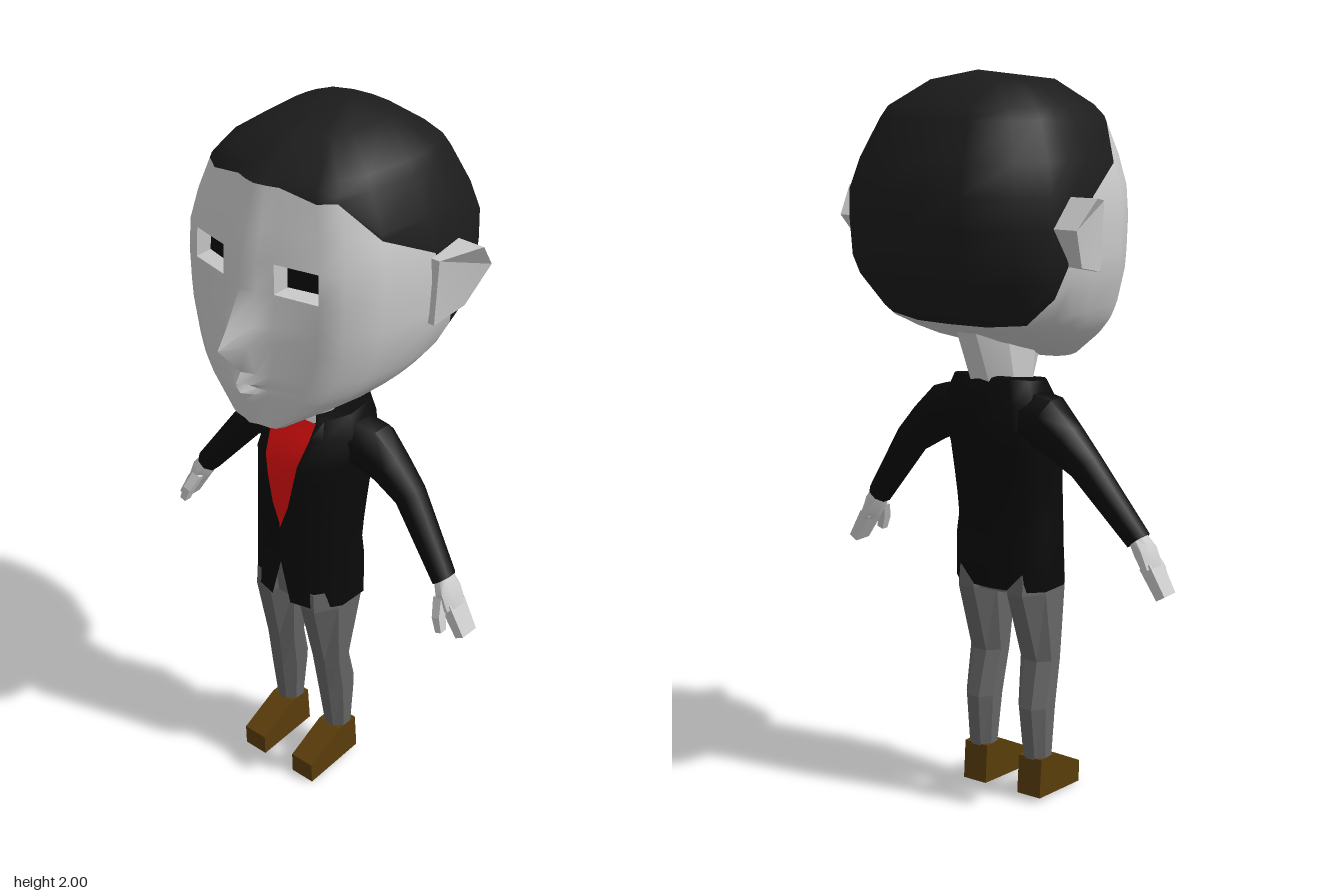
import * as THREE from 'three';
import { toCreasedNormals } from 'three/addons/utils/BufferGeometryUtils.js';

const mat = (color, side = THREE.FrontSide) => new THREE.MeshStandardMaterial({ color, side });
const SKIN = mat(0xcccccc), SOCKET = mat(0xcccccc, THREE.DoubleSide);
const HAIR = mat(0x1c1c1c), JACKET = mat(0x0a0a0a, THREE.DoubleSide), SLEEVE = mat(0x0a0a0a);
const SHIRT = mat(0xe01010, THREE.DoubleSide), TROUSERS = mat(0x666666), SHOE = mat(0x5a3d0a);
const PUPIL = mat(0x0a0a0a, THREE.DoubleSide);

// Skin a list of rings of [x, y, z]; faces are turned to point outward
function loft(rings, { closed = true, caps = false, crease = 0.8, skip = () => false } = {}) {
  const n = rings[0].length, pts = rings.flat().map(p => new THREE.Vector3(...p));
  const mid = pts.reduce((a, p) => a.add(p), new THREE.Vector3()).divideScalar(pts.length);
  const tris = [];
  let volume = 0;
  const tri = (a, b, c) => {
    const [p, q, r] = [a, b, c].map(i => pts[i].clone().sub(mid));
    const area = q.clone().sub(p).cross(r.clone().sub(p)).length();
    if (area < 1e-7) return;
    volume += p.dot(q.cross(r));
    tris.push([a, b, c]);
  };
  for (let j = 0; j < rings.length - 1; j++)
    for (let i = 0; i < (closed ? n : n - 1); i++) {
      if (skip(j, i)) continue;
      const k = (i + 1) % n, a = j * n + i, b = j * n + k, c = a + n, d = b + n;
      tri(a, b, d);
      tri(a, d, c);
    }
  if (caps) {
    const e = (rings.length - 1) * n;
    for (let i = 1; i < n - 1; i++) {
      tri(0, i + 1, i);
      tri(e, e + i, e + i + 1);
    }
  }
  const geo = new THREE.BufferGeometry().setFromPoints(pts);
  geo.setIndex(tris.flatMap(t => (volume < 0 ? [t[0], t[2], t[1]] : t)));
  return toCreasedNormals(geo, crease);
}

// Tube along points [x, y, z, radius, depthRadius] lying mostly in the xy plane
function limb(path, s, sides = 8, crease = 0.9) {
  return loft(path.map(([x, y, z, r, rz], i) => {
    const a = path[Math.max(i - 1, 0)], b = path[Math.min(i + 1, path.length - 1)];
    const dx = b[0] - a[0], dy = b[1] - a[1], l = Math.hypot(dx, dy);
    return Array.from({ length: sides }, (_, k) => {
      const t = ((k + 0.5) / sides) * Math.PI * 2, u = Math.cos(t) * r;
      return [s * (x - (dy / l) * u), y + (dx / l) * u, z + Math.sin(t) * rz];
    });
  }), { caps: true, crease });
}

// Flattened polygon ring, level in y
const level = (cx, y, hw, zf, zb, sides = 8) => Array.from({ length: sides }, (_, k) => {
  const t = ((k + 0.5) / sides) * Math.PI * 2, f = 1.08;
  return [cx + Math.cos(t) * hw * f, y, (zf + zb) / 2 + Math.sin(t) * (zf - zb) / 2 * f];
});

// Head levels: y, half width, front z, back z, widest z, centre-line bump
const HEAD = [
  [1.229, 0, 0.2, 0.2, 0.2, 0], [1.23, 0.09, 0.27, 0.14, 0.2, 0.005], [1.3, 0.205, 0.28, -0.1, 0.08, 0.016],
  [1.33, 0.24, 0.285, -0.17, 0.03, 0.02], [1.345, 0.253, 0.285, -0.2, 0.02, -0.005],
  [1.362, 0.265, 0.287, -0.24, 0, 0.033], [1.39, 0.282, 0.287, -0.27, -0.02, 0.015],
  [1.48, 0.314, 0.288, -0.35, -0.05, 0.092], [1.53, 0.32, 0.287, -0.378, -0.05, 0.06],
  [1.62, 0.325, 0.286, -0.384, -0.05, 0.014], [1.7, 0.32, 0.284, -0.386, -0.06, 0.012],
  [1.78, 0.3, 0.264, -0.355, -0.06, 0.006], [1.88, 0.255, 0.24, -0.307, -0.05, 0.002],
  [1.91, 0.235, 0.205, -0.29, -0.05, 0], [1.975, 0.135, 0.125, -0.195, -0.06, 0], [2, 0, -0.11, -0.11, -0.11, 0],
];
// Head columns from face to nape: x fraction, z fraction, hairline height, share of bump
const HALF = [
  [0, 1, 1.88, 1], [0.13, 0.98, 1.88, 0.4], [0.26, 0.94, 1.88, 0], [0.63, 0.86, 1.86, 0], [0.8, 0.77, 1.865, 0],
  [0.93, 0.48, 1.765, 0], [1, 0, 1.69, 0], [0.99, -0.28, 1.55, 0], [0.95, -0.5, 1.44, 0],
  [0.8, -0.8, 1.37, 0], [0.42, -0.96, 1.36, 0], [0, -1, 1.36, 0],
];
const COLS = [...HALF, ...HALF.slice(1, -1).reverse().map(([x, ...r]) => [-x, ...r])];

function headPoint([fx, fz, , share], y) {
  let j = 0;
  while (j < HEAD.length - 2 && y > HEAD[j + 1][0]) j++;
  const a = HEAD[j], b = HEAD[j + 1], t = (y - a[0]) / (b[0] - a[0]);
  const [, w, zf, zb, zc, bump] = a.map((v, i) => v + (b[i] - v) * t);
  return [fx * w, y, zc + fz * (fz > 0 ? zf - zc : zc - zb) + share * bump];
}

// Torso levels: y, half width, front z, back z, half opening at the front, rise towards the back
const TORSO = [
  [0.61, 0.15, 0.165, -0.065, 0.033, 0], [0.735, 0.148, 0.165, -0.068, 0, 0], [0.79, 0.144, 0.165, -0.062, 0, 0],
  [0.85, 0.142, 0.165, -0.072, 0, 0], [0.92, 0.141, 0.165, -0.086, 0.027, 0], [1, 0.141, 0.163, -0.102, 0.045, 0],
  [1.06, 0.146, 0.158, -0.116, 0.056, 0], [1.13, 0.143, 0.122, -0.12, 0.068, 0.01],
  [1.175, 0.122, 0.102, -0.107, 0.073, 0.03], [1.18, 0.074, 0.095, -0.1, 0.073, 0.03],
];

export function createModel() {
  const model = new THREE.Group();
  const add = (name, geo, material) => {
    const m = new THREE.Mesh(geo, material);
    m.name = name;
    model.add(m);
  };

  // Head: face below the hairline, hair above it
  const eyeRow = HEAD.findIndex(r => r[0] === 1.62);
  const shell = clamp => HEAD.map(([y]) => COLS.map(c => headPoint(c, clamp(y, c[2]))));
  add('face', loft(shell(Math.min), {
    crease: 0.75, skip: (j, i) => j === eyeRow && (i === 2 || i === COLS.length - 3),
  }), SKIN);
  add('hair', loft(shell(Math.max), { crease: 1 }), HAIR);

  // Neck, leaning forward
  const neck = (y0, y1, hw, zf, zb) => level(0, 0, hw, zf, zb).map(([x, , z]) =>
    [x, y0 + (y1 - y0) * (zf - z) / (zf - zb), z]);
  add('neck', loft([neck(1.15, 1.18, 0.072, 0.092, -0.1), neck(1.25, 1.33, 0.075, 0.13, -0.165)],
    { caps: true, crease: 0.3 }), SKIN);

  // Jacket with an open front, and the shirt in its opening
  const jacketRing = ([y, w, zf, zb, v, rise]) => {
    const half = [[v, zf], [0.7 * w, zf - 0.018], [w, zf - 0.085], [w, zb + 0.055], [0.72 * w, zb + 0.012], [0, zb]]
      .map(([x, z]) => [x, y + rise * (zf - z) / (zf - zb), z]);
    return [...half, ...half.slice(0, -1).reverse().map(([x, yy, z]) => [-x, yy, z])];
  };
  add('jacket', loft(TORSO.map(jacketRing), { closed: false, crease: 0.9 }), JACKET);
  add('shirt', loft(TORSO.slice(3, 9).map(([y, , zf, , v]) => [[-v, y, zf], [0, y, zf + 0.004], [v, y, zf]]),
    { closed: false }), SHIRT);
  add('hips', loft([level(0, 0.6, 0.1, 0.13, -0.05), level(0, 0.75, 0.12, 0.14, -0.05)],
    { caps: true, crease: 0.1 }), TROUSERS);

  for (const s of [1, -1]) {
    const side = s > 0 ? 'left' : 'right';

    // Eye socket and pupil
    const rim = [[2, 1.62], [3, 1.62], [3, 1.7], [2, 1.7]].map(([c, y]) => {
      const [x, , z] = headPoint(HALF[c], y);
      return [s * x, y, z];
    });
    const inner = rim.map(([x, y, z]) => [s * 0.14 + (x - s * 0.14) * 0.85, 1.662 + (y - 1.662) * 0.8, z - 0.04]);
    add(side + 'EyeSocket', loft([rim, inner], { crease: 0.1 }), SOCKET);
    add(side + 'Pupil', loft([[inner[0], inner[1]], [inner[3], inner[2]]], { closed: false }), PUPIL);

    // Ear flaring out towards the back
    const ear = [[0.345, 1.68, -0.045], [0.396, 1.695, -0.155], [0.376, 1.62, -0.218], [0.348, 1.52, -0.15], [0.335, 1.5, -0.045]];
    add(side + 'Ear', loft([ear.map(([, y, z]) => [s * 0.29, y, z]), ear.map(([x, y, z]) => [s * x, y, z])],
      { caps: true, crease: 0.3 }), SKIN);

    // Arm and hand
    add(side + 'Sleeve', limb([[0.08, 1.1, -0.015, 0.075, 0.085], [0.165, 1.085, -0.025, 0.078, 0.075],
      [0.225, 1.04, -0.03, 0.062, 0.058], [0.29, 0.985, -0.03, 0.048, 0.047], [0.435, 0.8, 0, 0.034, 0.037]], s), SLEEVE);
    add(side + 'Palm', limb([[0.43, 0.81, 0, 0.024, 0.03], [0.453, 0.773, 0.005, 0.03, 0.042],
      [0.475, 0.73, 0.005, 0.022, 0.042]], s), SKIN);
    add(side + 'Fingers', limb([[0.47, 0.74, 0.004, 0.024, 0.045], [0.518, 0.66, 0.004, 0.02, 0.04]], s, 4, 0.2), SKIN);
    add(side + 'Thumb', limb([[0.447, 0.765, 0.03, 0.02, 0.018], [0.464, 0.72, 0.055, 0.018, 0.02],
      [0.478, 0.68, 0.062, 0.014, 0.016]], s, 4, 0.2), SKIN);

    // Leg: y, centre x, half width, front z, back z
    add(side + 'Leg', loft([[0.66, 0.08, 0.06, 0.15, -0.055], [0.6, 0.082, 0.061, 0.15, -0.06],
      [0.4, s * -0.007 + 0 ? 0.086 - s * 0.007 : 0, 0.052, 0.1, 0], [0.27, 0.09 - s * 0.011, 0.046, 0.077, -0.034],
      [0.115, 0.093 - s * 0.015, 0.037, 0.05, -0.02]].map(([y, x, ...r]) => level(s * x, y, ...r)),
    { caps: true, crease: 0.1 }), TROUSERS);

    // Wedge shoe
    const profile = [[0.17, 0], [0.172, 0.062], [0.05, 0.125], [-0.02, 0.125], [-0.028, 0.015]];
    const shoeX = s * 0.093 - 0.015;
    add(side + 'Shoe', loft([-0.038, 0.038].map(dx => profile.map(([z, y]) => [shoeX + dx, y, z])),
      { caps: true, crease: 0.1 }), SHOE);
  }
  return model;
}
